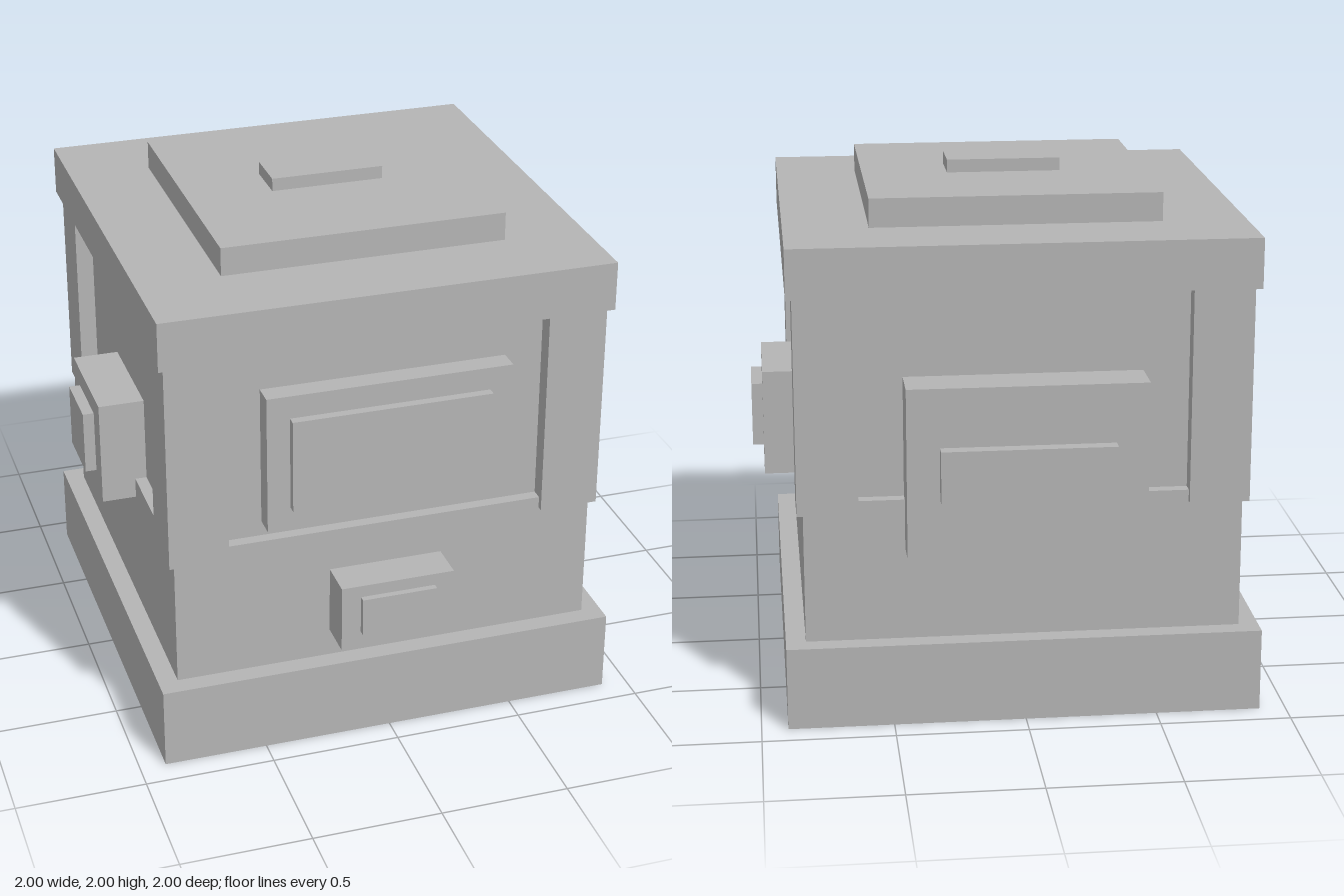
import * as THREE from 'three';

export function createModel() {
  const model = new THREE.Group();
  const grey = new THREE.MeshStandardMaterial({ color: 0xb4b4b4 });
  grey.name = 'plain grey';

  // Box given by its limits on each axis
  function box(name, [x0, x1], [y0, y1], [z0, z1]) {
    const mesh = new THREE.Mesh(new THREE.BoxGeometry(x1 - x0, y1 - y0, z1 - z0), grey);
    mesh.position.set((x0 + x1) / 2, (y0 + y1) / 2, (z0 + z1) / 2);
    mesh.name = name;
    model.add(mesh);
  }
  const both = (v) => [-v, v];
  const outward = (side, a, b) => (side > 0 ? [a, b] : [-b, -a]);

  // Stacked body
  box('base', both(0.9), [0, 0.32], both(0.9));
  box('lowerBody', both(0.825), [0.32, 0.87], both(0.825));
  box('upperBody', both(0.78), [0.87, 1.65], both(0.78));
  box('lid', both(0.87), [1.65, 1.84], both(0.87));
  box('lidPanel', both(0.55), [1.84, 1.95], both(0.55));
  box('lidHandle', both(0.22), [1.95, 2], both(0.09));

  // Corner posts
  for (const sx of [-1, 1]) {
    for (const sz of [-1, 1]) {
      box('cornerPost', outward(sx, 0.62, 0.848), [0.825, 1.65], outward(sz, 0.62, 0.848));
    }
  }

  // Side blocks with raised buttons
  for (const s of [-1, 1]) {
    const side = s > 0 ? 'left' : 'right';
    box(side + 'SideBlock', outward(s, 0.78, 0.957), [0.79, 1.205], both(0.222));
    box(side + 'SideButton', outward(s, 0.957, 1), [0.88, 1.13], both(0.125));
  }

  // Front window and drawer
  box('windowFrame', both(0.475), [0.93, 1.48], [0.78, 0.865]);
  box('windowPane', both(0.387), [1.02, 1.39], [0.865, 0.9]);
  box('drawer', both(0.222), [0.43, 0.7], [0.825, 0.975]);
  box('drawerPlate', both(0.147), [0.5, 0.652], [0.975, 1]);

  // Back panel
  box('backPanel', both(0.447), [0.68, 1.33], [-0.95, -0.78]);
  box('backBar', both(0.325), [0.905, 1.105], [-1, -0.95]);

  return model;
}
